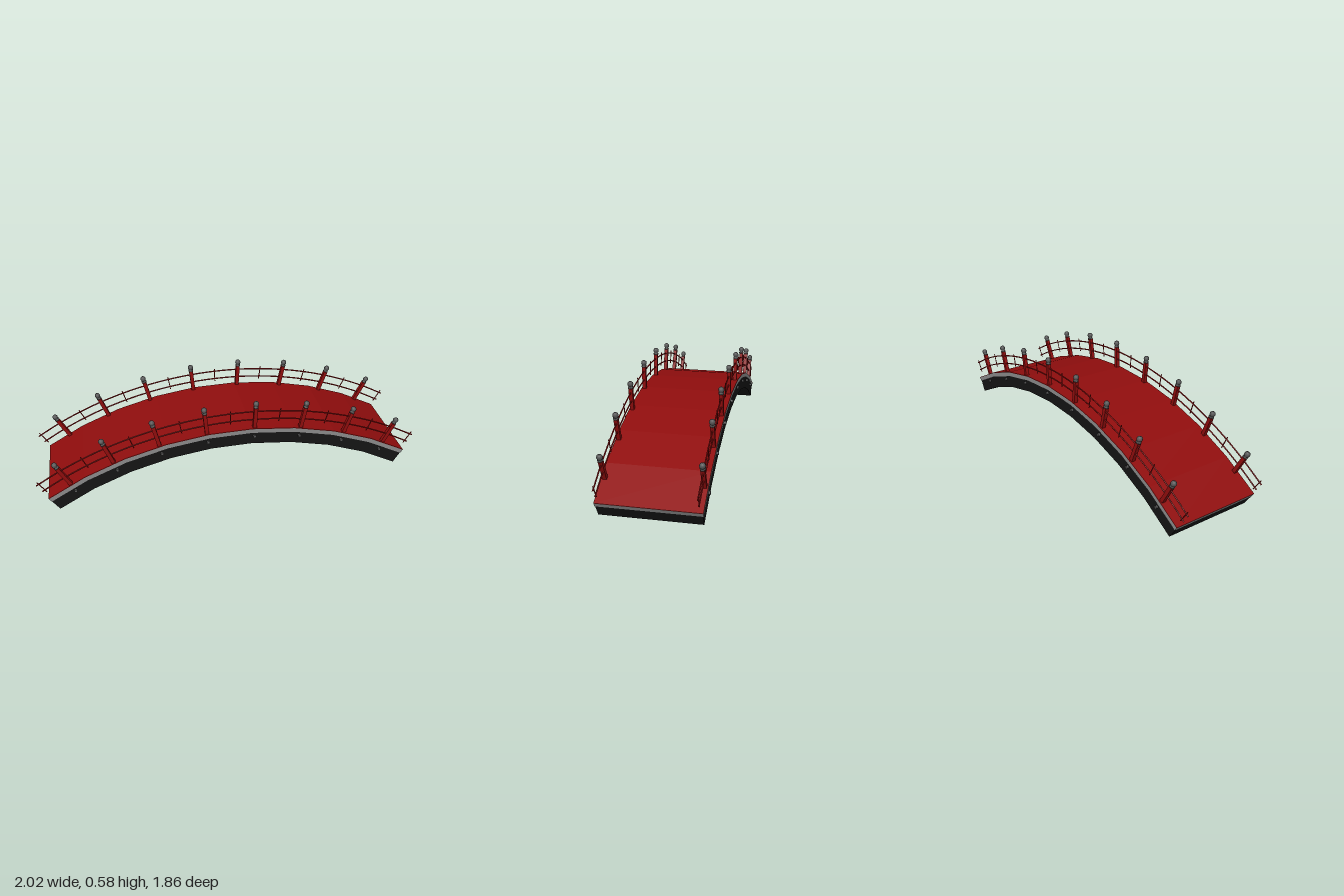
import * as THREE from 'three';

const R = 2.04;        // radius of the walking surface
const CY = -1.626;     // height of the arc's centre
const HALF = 0.5505;   // half of the arch angle
const STEP = 0.1355;   // angle between posts
const SIDE = 0.25;     // sideways offset of the railings

const red = new THREE.MeshStandardMaterial({ color: 0x8f0d0d });
const black = new THREE.MeshStandardMaterial({ color: 0x141414 });
const stone = new THREE.MeshStandardMaterial({ color: 0x8a8a8a });
const iron = new THREE.MeshStandardMaterial({ color: 0x555555 });

function add(parent, name, geometry, material) {
  const mesh = new THREE.Mesh(geometry, material);
  mesh.name = name;
  parent.add(mesh);
  return mesh;
}

// Point on the arch: angle a from the crown, radius r
const onArc = (a, r, z = 0) => new THREE.Vector3(r * Math.sin(a), CY + r * Math.cos(a), z);

// Faceted arched slab between two radii
function archSlab(inner, outer, halfWidth) {
  const n = 9, pts = [];
  for (let i = 0; i <= n; i++) pts.push(onArc(-HALF + (2 * HALF * i) / n, inner));
  for (let i = n; i >= 0; i--) pts.push(onArc(-HALF + (2 * HALF * i) / n, outer));
  const shape = new THREE.Shape(pts.map(p => new THREE.Vector2(p.x, p.y)));
  const g = new THREE.ExtrudeGeometry(shape, { depth: 2 * halfWidth, bevelEnabled: false });
  return g.translate(0, 0, -halfWidth);
}

// Thin rail following the arch
function railGeometry(height) {
  const pts = [];
  for (let i = 0; i <= 16; i++) pts.push(onArc((-4.06 + (8.12 * i) / 16) * STEP, R + height));
  return new THREE.TubeGeometry(new THREE.CatmullRomCurve3(pts), 48, 0.004, 6);
}

// Group standing on the deck, leaning outwards with the arch
function standing(parent, name, k, z) {
  const g = new THREE.Group();
  g.name = name;
  g.position.copy(onArc(k * STEP, R, z));
  g.rotation.z = -k * STEP;
  parent.add(g);
  return g;
}

export function createModel() {
  const model = new THREE.Group();
  model.name = 'archedBridge';
  const bridge = new THREE.Group();
  bridge.name = 'bridge';
  bridge.rotation.set(0, -0.7225, 0.026, 'YZX');
  model.add(bridge);

  // Arch body, edge trim and walking surface
  add(bridge, 'archBody', archSlab(1.938, R - 0.028, 0.264), black);
  add(bridge, 'edgeTrim', archSlab(R - 0.028, R - 0.003, 0.268), stone);
  add(bridge, 'deck', archSlab(R - 0.003, R, 0.268), red);

  const postGeo = new THREE.BoxGeometry(0.022, 0.14, 0.022).translate(0, 0.065, 0);
  const finialGeo = new THREE.LatheGeometry([
    [0, 0.13], [0.015, 0.13], [0.015, 0.137], [0.009, 0.14], [0.014, 0.145],
    [0.0165, 0.154], [0.014, 0.163], [0.008, 0.169], [0, 0.171],
  ].map(p => new THREE.Vector2(...p)), 12);
  const balusterGeo = new THREE.CylinderGeometry(0.003, 0.003, 0.085, 6).translate(0, 0.077, 0);
  const boltGeo = new THREE.CylinderGeometry(0.009, 0.009, 0.024, 8).rotateX(Math.PI / 2);

  for (const side of [-1, 1]) {
    const railing = new THREE.Group();
    railing.name = side > 0 ? 'frontRailing' : 'backRailing';
    bridge.add(railing);

    // Upper and lower rails
    for (const h of [0.052, 0.104]) {
      add(railing, 'rail', railGeometry(h), red).position.z = side * SIDE;
    }
    // Posts with finials, and a bolt below each on the side of the arch
    for (let k = -3.5; k <= 3.5; k++) {
      const post = standing(railing, 'post', k, side * SIDE);
      add(post, 'postShaft', postGeo, red);
      add(post, 'finial', finialGeo, iron);
      add(post, 'bolt', boltGeo, iron).position.set(0, -0.05, side * 0.014);
    }
    // Thin balusters between the posts and at both ends
    for (let k = -4; k <= 4; k++) {
      add(standing(railing, 'balusterMount', k, side * SIDE), 'baluster', balusterGeo, red);
    }
  }
  return model;
}
